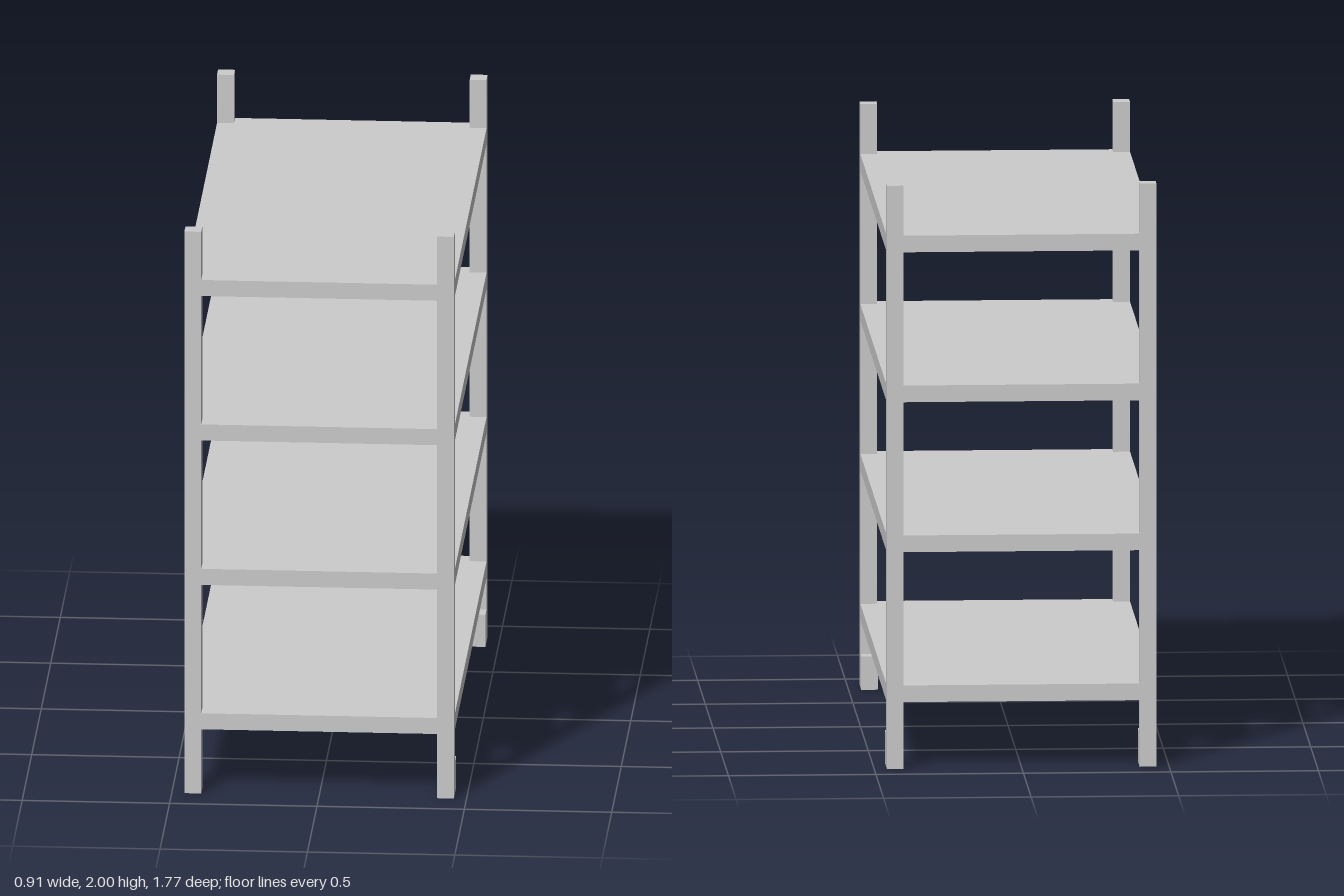
import * as THREE from 'three';

// Everything sits on a regular module of 1/35 unit.
const U = 1 / 35;
const HALF_X = 16 * U, HALF_Z = 31 * U, HEIGHT = 70 * U;
const POST = 2 * U, SHELF = 2 * U;

export function createModel() {
  const model = new THREE.Group();
  model.name = 'shelvingRack';
  const material = new THREE.MeshStandardMaterial({ color: 0xcccccc, flatShading: true });

  const add = (geometry, name, x, y, z) => {
    const mesh = new THREE.Mesh(geometry, material);
    mesh.name = name;
    mesh.position.set(x, y, z);
    model.add(mesh);
  };

  // Corner posts
  const postGeometry = new THREE.BoxGeometry(POST, HEIGHT, POST);
  const footGeometry = new THREE.BoxGeometry(POST, 4 * U, POST);
  for (const sx of [-1, 1]) {
    for (const sz of [-1, 1]) {
      const corner = (sz > 0 ? 'front' : 'back') + (sx > 0 ? 'Left' : 'Right');
      const x = sx * (HALF_X - POST / 2), z = sz * (HALF_Z - POST / 2);
      add(postGeometry, corner + 'Post', x, HEIGHT / 2, z);
      // Foot blocks on the inner side of every post but the front right one
      if (corner !== 'frontRight') add(footGeometry, corner + 'Foot', x, 2 * U, z - sz * POST);
    }
  }

  // Shelves, notched at the corners around the posts
  const ix = HALF_X - POST, iz = HALF_Z - POST;
  const outline = new THREE.Shape([
    [-ix, -HALF_Z], [ix, -HALF_Z], [ix, -iz], [HALF_X, -iz],
    [HALF_X, iz], [ix, iz], [ix, HALF_Z], [-ix, HALF_Z],
    [-ix, iz], [-HALF_X, iz], [-HALF_X, -iz], [-ix, -iz],
  ].map(([x, z]) => new THREE.Vector2(x, z)));
  const shelfGeometry = new THREE.ExtrudeGeometry(outline, { depth: SHELF, bevelEnabled: false });
  shelfGeometry.rotateX(-Math.PI / 2);
  for (let i = 0; i < 4; i++) add(shelfGeometry, 'shelf' + (i + 1), 0, (8 + 18 * i) * U, 0);

  return model;
}
